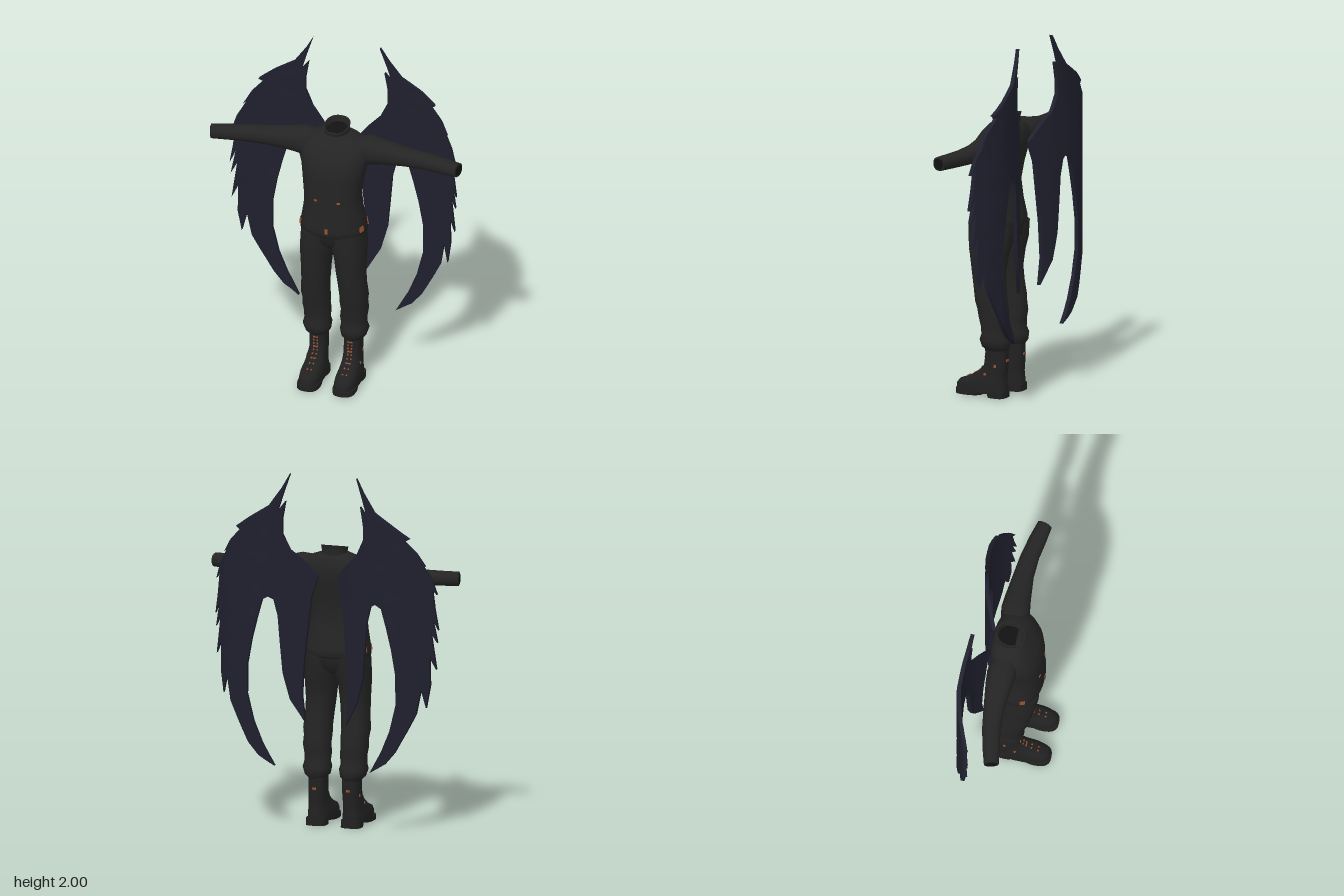
import * as THREE from 'three';
import { toCreasedNormals } from 'three/addons/utils/BufferGeometryUtils.js';

const mat = (name, color) => Object.assign(new THREE.MeshStandardMaterial({ color }), { name });
const cloth = mat('black cloth', 0x242424);
const leather = mat('black leather', 0x212121);
const lining = mat('dark lining', 0x121212);
const featherMat = mat('midnight feather', 0x20202f);
const copper = mat('copper', 0x96502d);

// Rounded-oval point of a ring row [height, x0, x1, zBack, zFront]
function ringPoint([y, x0, x1, z0, z1], a, p = 0.88) {
  const sp = v => Math.sign(v) * Math.pow(Math.abs(v), p);
  return new THREE.Vector3(
    (x0 + x1) / 2 + (x1 - x0) / 2 * sp(Math.cos(a)), y,
    (z0 + z1) / 2 + (z1 - z0) / 2 * sp(Math.sin(a)));
}

// Skin stacked ring rows, closing both ends
function loft(rows, p, n = 32) {
  const pos = [], idx = [];
  rows.forEach(r => {
    for (let j = 0; j < n; j++) pos.push(...ringPoint(r, j / n * Math.PI * 2, p).toArray());
  });
  for (let i = 0; i < rows.length - 1; i++) for (let j = 0; j < n; j++) {
    const k = (j + 1) % n, a = i * n + j, b = a + n, c = i * n + k, d = c + n;
    idx.push(a, b, c, b, d, c);
  }
  [rows[0], rows.at(-1)].forEach((r, e) => {
    const c = pos.length / 3, o = e * (rows.length - 1) * n;
    pos.push((r[1] + r[2]) / 2, r[0], (r[3] + r[4]) / 2);
    for (let j = 0; j < n; j++) {
      const k = (j + 1) % n;
      idx.push(c, o + (e ? k : j), o + (e ? j : k));
    }
  });
  const g = new THREE.BufferGeometry();
  g.setAttribute('position', new THREE.Float32BufferAttribute(pos, 3));
  g.setIndex(idx);
  return g;
}

const smooth = g => toCreasedNormals(g, 0.9);
function add(parent, name, geo, material) {
  const m = new THREE.Mesh(geo, material);
  m.name = name;
  parent.add(m);
}

// Thin plate lying on the surface of a loft, turned before it joins its (maybe mirrored) parent
function plate(parent, name, rows, y, a, w, h, p) {
  const at = (yy, aa) => {
    let i = 0;
    while (i < rows.length - 2 && rows[i + 1][0] < yy) i++;
    const t = (yy - rows[i][0]) / (rows[i + 1][0] - rows[i][0]);
    return ringPoint(rows[i].map((v, k) => v + (rows[i + 1][k] - v) * t), aa, p);
  };
  const c = at(y, a), up = at(y + 0.004, a).sub(c), side = at(y, a + 0.03).sub(at(y, a - 0.03));
  const m = new THREE.Mesh(new THREE.BoxGeometry(w, h, 0.008), copper);
  m.name = name;
  m.position.copy(c);
  m.lookAt(c.clone().add(up.cross(side).normalize()));
  parent.add(m);
}

const torsoRows = [
  [0.955, -0.18, 0.18, -0.1, 0.17], [0.965, -0.187, 0.187, -0.108, 0.178], [1.0, -0.185, 0.185, -0.105, 0.178],
  [1.1, -0.167, 0.167, -0.085, 0.172], [1.2, -0.158, 0.158, -0.073, 0.17], [1.3, -0.173, 0.173, -0.09, 0.172],
  [1.38, -0.188, 0.188, -0.11, 0.163], [1.44, -0.195, 0.195, -0.118, 0.137], [1.49, -0.18, 0.18, -0.112, 0.1],
  [1.52, -0.13, 0.13, -0.1, 0.075], [1.54, -0.07, 0.07, -0.085, 0.058]];
const hipRows = [
  [0.86, -0.05, 0.05, -0.05, 0.11], [0.9, -0.14, 0.14, -0.09, 0.152], [0.97, -0.178, 0.178, -0.1, 0.165]];
const legRows = [
  [0.265, 0.055, 0.15, -0.07, 0.055], [0.285, 0.035, 0.172, -0.083, 0.075], [0.325, 0.028, 0.186, -0.085, 0.085],
  [0.355, 0.036, 0.178, -0.07, 0.075], [0.4, 0.03, 0.178, -0.072, 0.08], [0.45, 0.036, 0.186, -0.078, 0.09],
  [0.5, 0.032, 0.183, -0.073, 0.102], [0.54, 0.034, 0.19, -0.068, 0.112], [0.62, 0.028, 0.183, -0.058, 0.125],
  [0.7, 0.02, 0.181, -0.052, 0.138], [0.8, 0.01, 0.185, -0.068, 0.152], [0.87, -0.005, 0.185, -0.09, 0.162],
  [0.965, -0.01, 0.18, -0.1, 0.165]];
const bootRows = [
  [0.022, 0.04, 0.165, -0.07, 0.232], [0.06, 0.038, 0.165, -0.07, 0.234], [0.085, 0.042, 0.162, -0.066, 0.215],
  [0.11, 0.047, 0.156, -0.064, 0.15], [0.14, 0.05, 0.152, -0.066, 0.098], [0.18, 0.05, 0.148, -0.07, 0.064],
  [0.24, 0.05, 0.148, -0.07, 0.058], [0.3, 0.05, 0.15, -0.07, 0.058]];
// Arm rows run outward: [x, zBack, zFront, yLow, yHigh]
const armRows = [
  [0.1, -0.09, 0.06, 1.36, 1.515], [0.19, -0.106, 0.055, 1.365, 1.525], [0.26, -0.1, 0.045, 1.375, 1.508],
  [0.4, -0.082, 0.032, 1.385, 1.485], [0.52, -0.065, 0.038, 1.39, 1.478], [0.62, -0.038, 0.055, 1.393, 1.474],
  [0.715, -0.012, 0.068, 1.395, 1.472], [0.717, -0.004, 0.06, 1.403, 1.464]];

// Wing outline: leading tip, ragged outer edge, long feather, inner feather, root
const wingOutline = [
  [0.195, 2], [0.24, 1.92], [0.31, 1.82], [0.42, 1.75], [0.51, 1.685], [0.485, 1.67], [0.55, 1.6], [0.59, 1.53],
  [0.572, 1.545], [0.62, 1.46], [0.648, 1.37], [0.625, 1.4], [0.638, 1.28], [0.655, 1.17], [0.625, 1.24],
  [0.65, 1.1], [0.618, 1.16], [0.645, 0.95], [0.612, 1.02], [0.615, 0.86], [0.595, 0.735], [0.57, 0.84],
  [0.545, 0.7], [0.5, 0.61], [0.43, 0.48], [0.37, 0.41], [0.28, 0.355], [0.35, 0.48], [0.4, 0.6], [0.437, 0.75],
  [0.435, 0.92], [0.41, 1.06], [0.38, 1.18], [0.35, 1.285], [0.315, 1.305], [0.285, 1.29], [0.262, 1.2],
  [0.25, 1.05], [0.235, 0.88], [0.195, 0.73], [0.12, 0.6], [0.135, 0.75], [0.125, 0.95], [0.105, 1.15],
  [0.09, 1.3], [0.055, 1.42], [0.13, 1.51], [0.195, 1.57], [0.238, 1.66], [0.238, 1.74], [0.22, 1.845],
  [0.262, 1.79], [0.235, 1.88]];

function wingGeometry() {
  const flat = new THREE.ExtrudeGeometry(
    new THREE.Shape(wingOutline.map(q => new THREE.Vector2(...q))), { depth: 0.022, bevelEnabled: false });
  const P = flat.getAttribute('position'), out = [];
  const v = i => new THREE.Vector3().fromBufferAttribute(P, i);
  // Halve long edges so the sheet can bend
  const split = (a, b, c) => {
    const ab = a.distanceTo(b), bc = b.distanceTo(c), ca = c.distanceTo(a);
    if (Math.max(ab, bc, ca) < 0.08) {
      out.push(...a.toArray(), ...b.toArray(), ...c.toArray());
    } else if (ab >= bc && ab >= ca) {
      const h = a.clone().add(b).multiplyScalar(0.5);
      split(a, h, c);
      split(h, b, c);
    } else if (bc >= ca) split(b, c, a);
    else split(c, a, b);
  };
  for (let i = 0; i < P.count; i += 3) split(v(i), v(i + 1), v(i + 2));
  // Bow the wing backwards across its width
  const bow = [[0.04, -0.108], [0.1, -0.14], [0.2, -0.188], [0.32, -0.212], [0.44, -0.215], [0.55, -0.183], [0.66, -0.125]];
  for (let i = 0; i < out.length; i += 3) {
    const x = out[i];
    let k = 0;
    while (k < bow.length - 2 && bow[k + 1][0] < x) k++;
    const [x0, z0] = bow[k], [x1, z1] = bow[k + 1];
    out[i + 2] += z0 + (z1 - z0) * (x - x0) / (x1 - x0) - 0.011;
  }
  const g = new THREE.BufferGeometry();
  g.setAttribute('position', new THREE.Float32BufferAttribute(out, 3));
  return smooth(g);
}

function armGeometry(rows) {
  // Loft upright, then turn the axes so height becomes x
  const g = loft(rows);
  g.applyMatrix4(new THREE.Matrix4().set(0, 1, 0, 0, 0, 0, 1, 0, 1, 0, 0, 0, 0, 0, 0, 1));
  const p = g.getAttribute('position');
  for (let i = 0; i < p.count; i++) {
    if (p.getX(i) > 0.6) p.setX(i, p.getX(i) - (p.getZ(i) - 0.03) * 0.25);
  }
  return smooth(g);
}

function tiltedCollar(rows) {
  const g = loft(rows), p = g.getAttribute('position');
  for (let i = 0; i < p.count; i++) p.setY(i, p.getY(i) - (p.getZ(i) + 0.01) * 0.22);
  return smooth(g);
}

export function createModel() {
  const model = new THREE.Group();
  model.name = 'wingedOutfit';
  add(model, 'jacket', smooth(loft(torsoRows)), cloth);
  add(model, 'trouserSeat', smooth(loft(hipRows)), cloth);
  add(model, 'collar', tiltedCollar([
    [1.51, -0.075, 0.075, -0.09, 0.06], [1.545, -0.068, 0.068, -0.087, 0.058], [1.573, -0.072, 0.072, -0.095, 0.066],
    [1.573, -0.064, 0.064, -0.086, 0.057], [1.545, -0.058, 0.058, -0.078, 0.05]]), cloth);
  add(model, 'collarLining', tiltedCollar([
    [1.544, -0.057, 0.057, -0.077, 0.049], [1.547, -0.057, 0.057, -0.077, 0.049]]), lining);
  plate(model, 'hemBuckle', torsoRows, 1.0, Math.PI / 2, 0.018, 0.03);

  const wing = wingGeometry();
  for (const s of [1, -1]) {
    const half = new THREE.Group();
    half.name = s > 0 ? 'leftSide' : 'rightSide';
    half.scale.x = s;
    model.add(half);
    add(half, 'wing', wing, featherMat);
    add(half, 'sleeve', armGeometry(armRows), cloth);
    add(half, 'cuffOpening', armGeometry([[0.716, -0.003, 0.059, 1.404, 1.463], [0.719, -0.003, 0.059, 1.404, 1.463]]), lining);
    add(half, 'trouserLeg', smooth(loft(legRows)), cloth);
    add(half, 'boot', smooth(loft(bootRows, 0.75)), leather);
    add(half, 'heel', smooth(loft([[0, 0.045, 0.16, -0.07, 0.035], [0.04, 0.045, 0.16, -0.07, 0.045]], 0.6)), leather);
    add(half, 'sole', smooth(loft([[0.006, 0.04, 0.166, 0.075, 0.236], [0.035, 0.038, 0.167, 0.05, 0.237]], 0.75)), leather);
    // Metal fittings on the jacket
    plate(half, 'waistStud', torsoRows, 1.18, 1.2, 0.018, 0.01);
    plate(half, 'sideBuckle', torsoRows, 1.0, 0.33, 0.03, 0.03);
    plate(half, 'sideBuckle', torsoRows, 1.0, -0.35, 0.034, 0.03);
    // Boot laces and eyelets
    for (let i = 0; i < 9; i++) {
      for (const d of [-0.12, 0.12])
        plate(half, 'eyelet', bootRows, 0.105 + i * 0.019, Math.PI / 2 + d, 0.008, 0.009, 0.75);
      if (i % 3 === 2) plate(half, 'lace', bootRows, 0.105 + i * 0.019, Math.PI / 2, 0.02, 0.005, 0.75);
    }
    plate(half, 'bootStud', bootRows, 0.18, -0.15, 0.014, 0.016, 0.75);
    plate(half, 'bootStud', bootRows, 0.13, 0.1, 0.012, 0.014, 0.75);
    plate(half, 'bootStud', bootRows, 0.21, -Math.PI / 2, 0.022, 0.012, 0.75);
  }
  return model;
}
